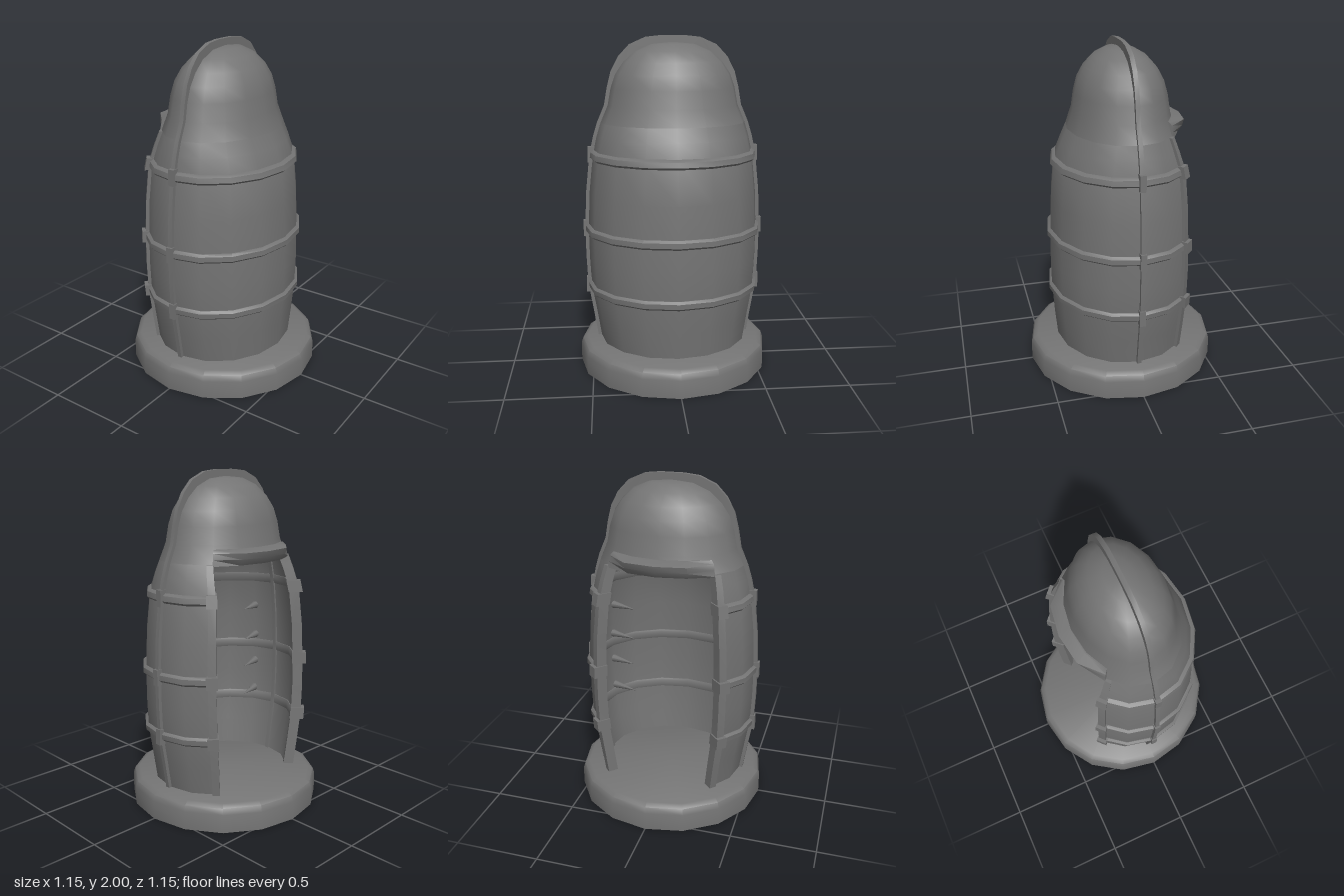
import * as THREE from 'three';
import { toCreasedNormals } from 'three/addons/utils/BufferGeometryUtils.js';

const iron = new THREE.MeshStandardMaterial({ color: 0x747474 });
iron.name = 'iron grey';

// Elliptical hull: [height, half width in x, half depth in z]
const HULL = [
  [0.16, 0.405, 0.45], [0.32, 0.42, 0.475], [0.5, 0.432, 0.505], [0.68, 0.435, 0.513], [0.86, 0.43, 0.515],
  [1.08, 0.42, 0.505], [1.31, 0.397, 0.48], [1.42, 0.35, 0.455], [1.5, 0.313, 0.43], [1.6, 0.28, 0.387],
  [1.7, 0.265, 0.368], [1.78, 0.243, 0.34], [1.85, 0.205, 0.292], [1.91, 0.15, 0.225], [1.95, 0.08, 0.13], [1.963, 0, 0],
];
const BANDS = [0.5, 0.86, 1.31];
const OPEN = 135; // opening starts this many degrees from +x, on both sides

function hullAt(y) {
  let i = 0;
  while (i < HULL.length - 2 && HULL[i + 1][0] < y) i++;
  const [a, b] = [HULL[i], HULL[i + 1]];
  const k = THREE.MathUtils.clamp((y - a[0]) / (b[0] - a[0]), 0, 1);
  return [a[1] + (b[1] - a[1]) * k, a[2] + (b[2] - a[2]) * k];
}

// Sweeps rows of [y, inner offset, outer offset] around the hull between two angles
function sweep(rowsAt, from, to, steps, capped = true) {
  const pos = [], idx = [];
  const n = rowsAt(from).length, m = n * 2;
  for (let s = 0; s <= steps; s++) {
    const deg = from + ((to - from) * s) / steps;
    const t = THREE.MathUtils.degToRad(deg);
    const rows = rowsAt(deg);
    const loop = [...rows.map((r) => [r[0], r[2]]), ...rows.map((r) => [r[0], r[1]]).reverse()];
    for (const [y, off] of loop) {
      const [rx, rz] = hullAt(y);
      pos.push(Math.cos(t) * Math.max(0, rx + off), y, Math.sin(t) * Math.max(0, rz + off));
    }
  }
  for (let s = 0; s < steps; s++) {
    for (let k = 0; k < m; k++) {
      const a = s * m + k, b = s * m + ((k + 1) % m);
      idx.push(a, b, b + m, a, b + m, a + m);
    }
  }
  if (capped) {
    for (let j = 0; j < n - 1; j++) {
      const o = j, o1 = j + 1, i = m - 1 - j, i1 = m - 2 - j, e = steps * m;
      idx.push(i, i1, o1, i, o1, o);
      idx.push(e + i, e + o1, e + i1, e + i, e + o, e + o1);
    }
  }
  const g = new THREE.BufferGeometry();
  g.setAttribute('position', new THREE.Float32BufferAttribute(pos, 3));
  g.setIndex(idx);
  return toCreasedNormals(g, 0.7);
}

export function createModel() {
  const model = new THREE.Group();
  model.name = 'spikedCabinet';
  const add = (name, geometry) => {
    const mesh = new THREE.Mesh(geometry, iron);
    mesh.name = name;
    model.add(mesh);
    return mesh;
  };

  // Round plinth with a softened upper edge
  const plinth = [[0, 0], [0.577, 0], [0.577, 0.11], [0.565, 0.145], [0.535, 0.163], [0, 0.168]];
  add('base', toCreasedNormals(
    new THREE.LatheGeometry(plinth.map((p) => new THREE.Vector2(...p)), 16, Math.PI / 2), 0.7));

  // Body wall, open on the -x side, and the closed hood above it
  const wall = HULL.filter((h) => h[0] <= 1.5).map((h) => [h[0], -0.035, 0]);
  add('bodyWall', sweep(() => wall, -OPEN, OPEN, 12));
  const hood = HULL.filter((h) => h[0] >= 1.5).map((h) => [h[0], -0.035, 0]);
  add('hood', sweep(() => hood, -180, 180, 16, false));

  // Flared visor over the opening
  add('visor', sweep((deg) => {
    const f = Math.abs(deg - 180) > 40 ? 0.3 : 1;
    return [[1.49, -0.04, 0.008], [1.525, -0.04, 0.045 * f], [1.56, -0.04, 0.066 * f], [1.578, -0.04, 0.008]];
  }, OPEN, 360 - OPEN, 4));

  // Bands around the wall
  for (const y of BANDS) {
    const rows = [[y - 0.028, -0.04, 0.003], [y - 0.015, -0.045, 0.018],
      [y + 0.015, -0.045, 0.018], [y + 0.028, -0.04, 0.003]];
    add('band', sweep(() => rows, -OPEN, OPEN, 12));
  }

  // Trim along both edges of the opening, with clasps at the bands
  const trim = wall.map((r) => [r[0], -0.047, 0.014]);
  for (const side of [-1, 1]) {
    const span = (a, b) => (side > 0 ? [a, b] : [-b, -a]);
    add('openingTrim', sweep(() => trim, ...span(130, 135.5), 1));
    for (const y of BANDS) {
      const rows = [[y - 0.035, -0.05, 0.036], [y + 0.035, -0.05, 0.036]];
      add('edgeClasp', sweep(() => rows, ...span(129, 136.5), 1));
    }
  }

  // Thin seam ridge running from front to back over the top
  const outer = HULL.slice(0, -1).map(([y, , rz]) => {
    const lift = THREE.MathUtils.smoothstep(y, 1.65, 1.95);
    return [rz + 0.018 * (1 - lift) + 0.03 * lift, y + 0.04 * lift];
  });
  const inner = HULL.slice(0, -1).map(([y, , rz]) => [Math.max(rz - 0.05, 0.03), y - (y > 1.8 ? 0.04 : 0)]);
  const flip = (pts) => pts.map(([z, y]) => [-z, y]).reverse();
  const outline = [...outer, [0.07, 2], ...flip([...outer, [0.07, 2]]),
    ...flip(inner).reverse(), ...[...inner].reverse()];
  const ridge = new THREE.ExtrudeGeometry(
    new THREE.Shape(outline.map((p) => new THREE.Vector2(...p))), { depth: 0.026, bevelEnabled: false });
  ridge.translate(0, 0, -0.013);
  ridge.rotateY(-Math.PI / 2);
  add('seamRidge', toCreasedNormals(ridge, 0.7));

  // Clasps where the bands cross the ridge
  for (const y of BANDS) {
    for (const side of [-1, 1]) {
      add('ridgeClasp', new THREE.BoxGeometry(0.036, 0.095, 0.05))
        .position.set(0, y, side * (hullAt(y)[1] + 0.003));
    }
  }

  // Spikes pointing inward from both sides
  for (const y of [0.55, 0.74, 0.92, 1.12]) {
    for (const side of [-1, 1]) {
      const [rx, rz] = hullAt(y);
      const t = THREE.MathUtils.degToRad(68);
      const root = new THREE.Vector3(Math.cos(t) * (rx - 0.03), y, side * Math.sin(t) * (rz - 0.03));
      const dir = new THREE.Vector3(-root.x, 0, -root.z).normalize();
      const spike = add('spike', new THREE.ConeGeometry(0.026, 0.19, 8));
      spike.quaternion.setFromUnitVectors(new THREE.Vector3(0, 1, 0), dir);
      spike.position.copy(root).addScaledVector(dir, 0.085);
    }
  }
  return model;
}
